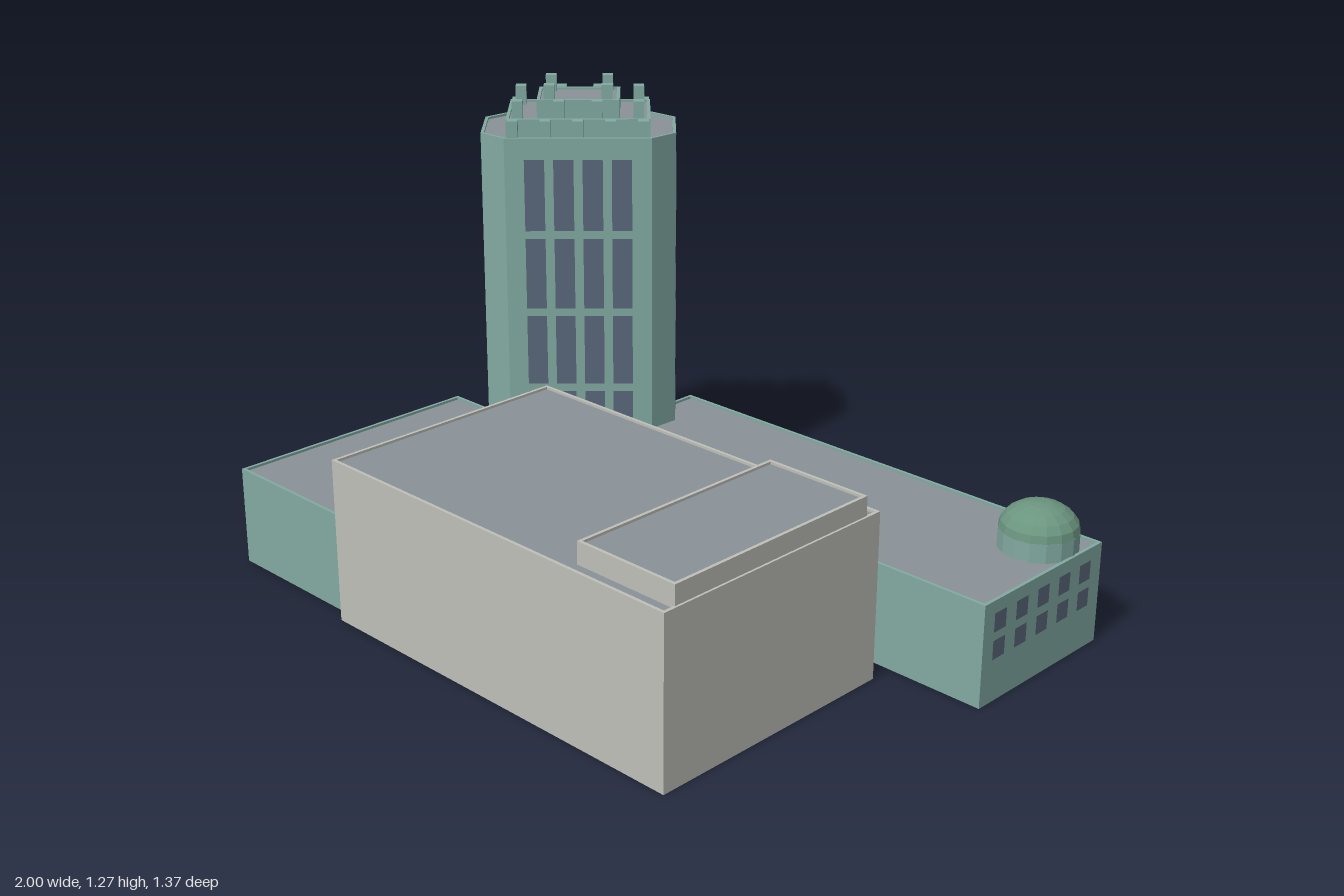
import * as THREE from 'three';
import { mergeGeometries } from 'three/addons/utils/BufferGeometryUtils.js';

const paint = (color, extra = {}) => new THREE.MeshStandardMaterial({ color, flatShading: true, ...extra });
const TEAL = paint(0x82aaa2);
const CREAM = paint(0xbfc0b8);
const ROOF = paint(0x8a9299, { side: THREE.DoubleSide });
const GLASS = paint(0x5a687c, { side: THREE.DoubleSide });
const COPPER = paint(0x6b957f);

function add(parent, name, geometry, material, x = 0, y = 0, z = 0) {
  const mesh = new THREE.Mesh(geometry, material);
  mesh.name = name;
  mesh.position.set(x, y, z);
  parent.add(mesh);
  return mesh;
}

// Moves every edge of a counter-clockwise outline inwards by t
function inset(points, t) {
  return points.map((p, i) => {
    const a = p.clone().sub(points.at(i - 1)).normalize();
    const b = points[(i + 1) % points.length].clone().sub(p).normalize();
    const n1 = new THREE.Vector2(-a.y, a.x), n2 = new THREE.Vector2(-b.y, b.x);
    return p.clone().addScaledVector(n1.clone().add(n2), t / (1 + n1.dot(n2)));
  });
}

// Open-bottomed block: thin walls with a low parapet around a flat roof
function building(parent, name, plan, base, top, wallMaterial) {
  const group = new THREE.Group();
  group.name = name;
  parent.add(group);
  let outline = plan.map(([x, z]) => new THREE.Vector2(x, -z));
  if (THREE.ShapeUtils.isClockWise(outline)) outline = outline.reverse();
  const inner = inset(outline, 0.009);
  const ring = new THREE.Shape(outline);
  ring.holes.push(new THREE.Path(inner));
  const walls = new THREE.ExtrudeGeometry(ring, { depth: top - base, bevelEnabled: false });
  add(group, name + 'Walls', walls.rotateX(-Math.PI / 2), wallMaterial, 0, base);
  const roof = new THREE.ShapeGeometry(new THREE.Shape(inner)).rotateX(-Math.PI / 2);
  add(group, name + 'Roof', roof, ROOF, 0, top - 0.007);
  return group;
}

const rect = (x0, x1, z0, z1) => [[x0, z0], [x0, z1], [x1, z1], [x1, z0]];

// Window panes on one facade; each pane is [offset along wall, centre y, width, height]
function windows(parent, name, panes, x, z, angle) {
  const geometry = mergeGeometries(panes.map(([s, y, w, h]) => new THREE.PlaneGeometry(w, h).translate(s, y, 0)));
  add(parent, name, geometry, GLASS, x, 0, z).rotation.y = angle;
}

function paneGrid(columns, pitch, rows, w, h) {
  const panes = [];
  for (let i = 0; i < columns; i++)
    for (const y of rows) panes.push([(i - (columns - 1) / 2) * pitch, y, w, h]);
  return panes;
}

function buildTower(parent) {
  const tower = new THREE.Group();
  tower.name = 'tower';
  tower.position.set(-0.618, 0, -0.336);
  tower.rotation.y = Math.PI / 4;
  parent.add(tower);

  // Octagonal shaft
  const U = 0.272, V = 0.157, u = 0.204, v = 0.094;
  building(tower, 'shaft', [[U, -v], [U, v], [u, V], [-u, V], [-U, v], [-U, -v], [-u, -V], [u, -V]], 0, 1.135, TEAL);

  // Tall panes: four columns on the long sides, one on each end
  const rows = [0.288, 0.516, 0.744, 0.972];
  for (const s of [1, -1]) {
    const turn = s > 0 ? 0 : Math.PI;
    windows(tower, 'longSideWindows', paneGrid(4, 0.081, rows, 0.056, 0.205), 0, s * (V + 0.002), turn);
    windows(tower, 'endWindows', paneGrid(1, 0, rows, 0.05, 0.205), s * (U + 0.002), 0, turn + Math.PI / 2);
  }

  // Two stepped tiers at the crown
  building(tower, 'lowerTier', rect(-0.2, 0.2, -0.122, 0.122), 1.125, 1.18, TEAL);
  building(tower, 'upperTier', rect(-0.115, 0.115, -0.083, 0.083), 1.17, 1.225, TEAL);

  // Pinnacles along and on top of the tiers
  const pin = (x, y, z) => add(tower, 'pinnacle', new THREE.BoxGeometry(0.03, 0.055, 0.03), TEAL, x, y, z);
  for (const sz of [-1, 1]) {
    for (let i = -2; i <= 2; i++) pin(i * 0.0905, 1.153, sz * 0.135);
    for (const sx of [-1, 1]) {
      pin(sx * 0.168, 1.2, sz * 0.095);
      pin(sx * 0.053, 1.2, sz * 0.096);
      pin(sx * 0.08, 1.238, sz * 0.064);
    }
  }
}

export function createModel() {
  const model = new THREE.Group();
  model.name = 'civicBuilding';

  // Low wings and the large hall
  building(model, 'backWing', rect(-0.455, 0.996, -0.627, -0.13), 0, 0.28, TEAL);
  building(model, 'sideWing', rect(-0.945, -0.478, -0.127, 0.648), 0, 0.28, TEAL);
  building(model, 'hall', rect(-0.474, 0.72, -0.064, 0.682), 0, 0.46, CREAM);
  building(model, 'hallPenthouse', rect(0.402, 0.714, -0.02, 0.642), 0.45, 0.513, CREAM);

  // Wing windows: two rows of square panes, with a long band below on two facades
  const rows = [0.145, 0.22];
  windows(model, 'endWindows', paneGrid(5, 0.09, rows, 0.048, 0.052), 0.998, -0.374, Math.PI / 2);
  windows(model, 'backWindows', [...paneGrid(13, 0.11, rows, 0.06, 0.052), [0, 0.066, 1.33, 0.055]], 0.27, -0.629, Math.PI);
  windows(model, 'sideWindows', [...paneGrid(8, 0.092, rows, 0.05, 0.052), [0, 0.066, 0.69, 0.055]], -0.947, 0.26, -Math.PI / 2);

  buildTower(model);

  // Fan-shaped entrance block behind the tower
  building(model, 'entranceBlock', [
    [-0.738, -0.689], [-0.79, -0.684], [-0.86, -0.657], [-0.925, -0.607], [-0.973, -0.543], [-0.997, -0.47],
    [-0.999, -0.417], [-0.868, -0.305], [-0.6, -0.58], [-0.59, -0.607], [-0.738, -0.607],
  ], 0, 0.125, TEAL);

  // Corner turret with a rounded cap
  add(model, 'turretDrum', new THREE.CylinderGeometry(0.105, 0.105, 0.325, 16), TEAL, 0.885, 0.1625, -0.505);
  const cap = [];
  for (let i = 0; i <= 5; i++) {
    const a = (i / 5) * Math.PI / 2;
    cap.push(new THREE.Vector2(0.105 * Math.cos(a), 0.073 * Math.sin(a)));
  }
  cap[5].x = 0;
  add(model, 'turretDome', new THREE.LatheGeometry(cap, 16), COPPER, 0.885, 0.323, -0.505);

  return model;
}
